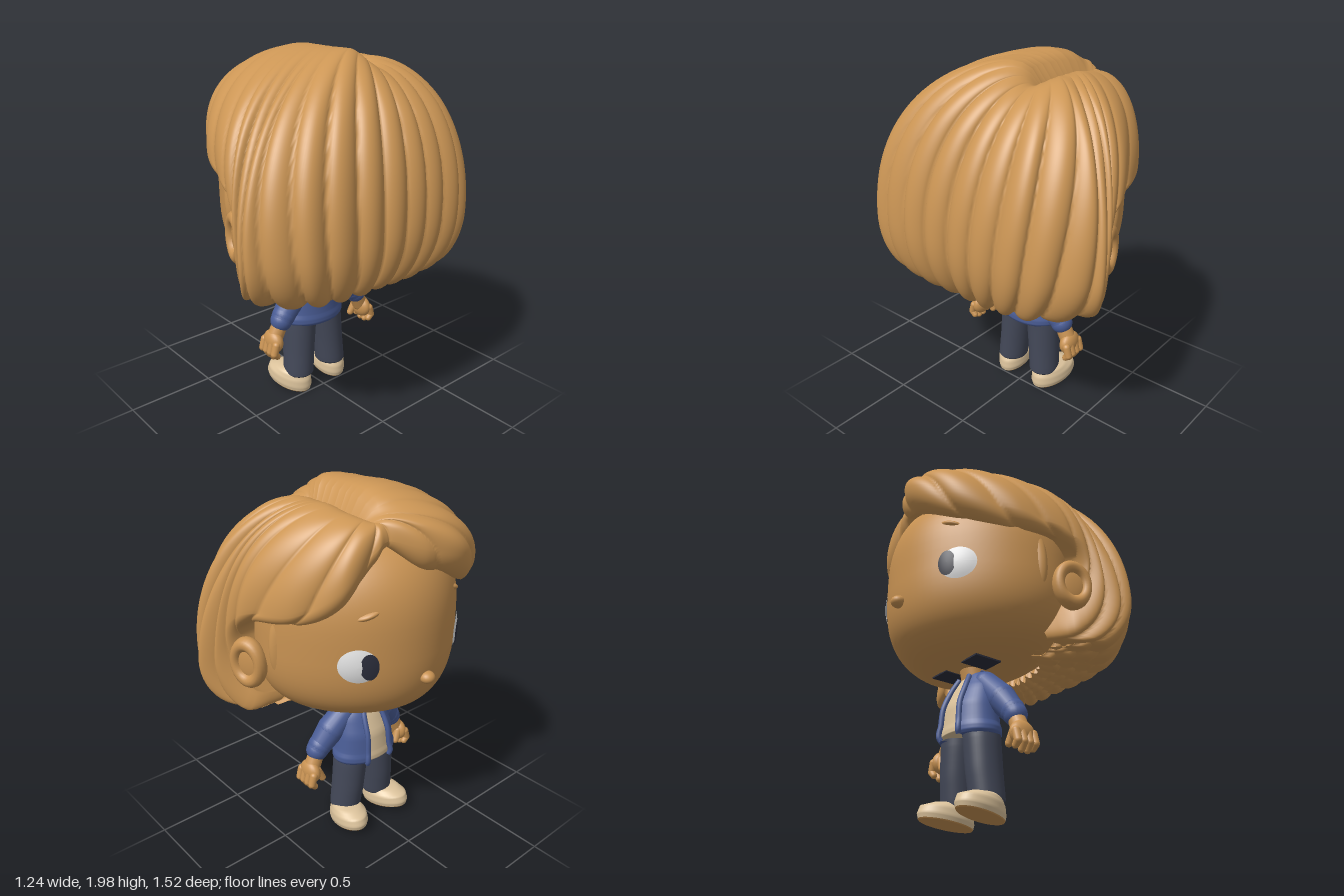
import * as THREE from 'three';

const mat = (name, color, side = THREE.FrontSide) => {
  const m = new THREE.MeshStandardMaterial({ color, side });
  m.name = name;
  return m;
};
const lerp = THREE.MathUtils.lerp;

// Surface from a rule fn(u, v): u runs front -> left -> back -> right, v runs downwards
function grid(nu, nv, fn, closed = true) {
  const pos = [], idx = [], cols = closed ? nu : nu + 1;
  for (let i = 0; i < cols; i++)
    for (let j = 0; j <= nv; j++) pos.push(...fn(i / nu, j / nv));
  for (let i = 0; i < nu; i++)
    for (let j = 0; j < nv; j++) {
      const a = i * (nv + 1) + j, c = ((i + 1) % cols) * (nv + 1) + j;
      idx.push(a, a + 1, c, c, a + 1, c + 1);
    }
  const g = new THREE.BufferGeometry();
  g.setAttribute('position', new THREE.Float32BufferAttribute(pos, 3));
  g.setIndex(idx);
  g.computeVertexNormals();
  return g;
}

// Stack of ellipses [y, centre x, radius x, radius z], with an optional gap at the front
function loft(sections, cz = 0, gap = 0, warp = p => p) {
  const n = sections.length - 1;
  return grid(40, n * 4, (u, v) => {
    const i = Math.min(n - 1, Math.floor(v * n));
    const [y, cx, rx, rz] = sections[i].map((c, k) => lerp(c, sections[i + 1][k], v * n - i));
    const a = gap + u * (Math.PI * 2 - 2 * gap);
    return warp([cx - rx * Math.cos(a), y, cz + rz * Math.sin(a)]);
  }, gap === 0);
}

// Head: a rounded block, fuller at the jaw and narrower towards the face
const HEAD = { x: -0.1, y: 1.31, rx: 0.475, ry: 0.49, rz: 0.565 };
function headPoint(a, y, out = 0) {
  const v = (y - HEAD.y) / HEAD.ry, n = v > 0 ? 2.5 : 3.3, c = Math.cos(a);
  const s = Math.pow(Math.max(0, 1 - Math.pow(Math.abs(v), n)), 1 / n);
  return [HEAD.x - (HEAD.rx * s + out) * c, y, (HEAD.rz * (1 - 0.19 * c) * s + out) * Math.sin(a)];
}
function headGeometry() {
  return grid(64, 40, (u, v) => {
    const c = Math.cos(v * Math.PI), n = c > 0 ? 2.5 : 3.3;
    return headPoint(u * Math.PI * 2, HEAD.y + HEAD.ry * Math.sign(c) * Math.pow(Math.abs(c), 2 / n));
  });
}

// Thin oval that hugs the head surface
function facePatch(a, y, w, h, out, bulge, tilt = 0) {
  const g = new THREE.RingGeometry(0.001, 1, 36, 6), p = g.attributes.position;
  for (let i = 0; i < p.count; i++) {
    const X = p.getX(i), Y = p.getY(i), r2 = X * X + Y * Y;
    p.setXYZ(i, ...headPoint(a + X * w, y + Y * h + X * tilt, out + bulge * (1 - r2)));
  }
  g.computeVertexNormals();
  return g;
}

// Hair guides: widest point x, z and height, tip height, root x, crown height, forward curl of tip
const GUIDES = [
  [-0.46, -0.17, 1.79, 1.74, -0.38, 1.88, 0], [-0.57, -0.02, 1.74, 1.64, -0.36, 1.90, 0],
  [-0.60, 0.16, 1.71, 1.57, -0.33, 1.92, 0], [-0.50, 0.37, 1.60, 1.47, -0.29, 1.97, 0],
  [-0.25, 0.55, 1.50, 1.40, -0.22, 2.0, 0], [0.0, 0.65, 1.43, 1.37, -0.16, 2.0, 0],
  [0.13, 0.68, 1.34, 1.24, -0.12, 2.0, 0], [0.22, 0.71, 1.14, 0.86, -0.06, 2.0, 0.15],
  [0.35, 0.73, 1.10, 0.82, 0, 2.0, 0.08], [0.52, 0.52, 1.12, 0.81, 0.05, 2.0, 0],
  [0.59, 0.25, 1.14, 0.80, 0.07, 1.97, 0], [0.60, 0, 1.15, 0.80, 0.08, 1.93, 0],
  [0.59, -0.25, 1.14, 0.80, 0.08, 1.90, 0], [0.52, -0.52, 1.12, 0.81, 0.05, 1.92, 0],
  [0.35, -0.73, 1.10, 0.82, 0, 1.94, 0.08], [0.22, -0.71, 1.14, 0.86, -0.06, 1.94, 0.15],
  [0.13, -0.68, 1.34, 1.24, -0.12, 1.94, 0], [0.0, -0.65, 1.43, 1.37, -0.16, 1.94, 0],
  [-0.25, -0.56, 1.47, 1.40, -0.22, 1.92, 0], [-0.42, -0.42, 1.60, 1.50, -0.30, 1.90, 0],
  [-0.45, -0.25, 1.75, 1.68, -0.36, 1.88, 0],
];
const COUNT = GUIDES.length, LOCKS = 26, ROOT_Z = -0.19;
function guide(u) {
  const i = Math.floor(u), f = u - i;
  const k = o => GUIDES[(i + o + COUNT) % COUNT];
  return GUIDES[0].map((_, c) => {
    const a = k(-1)[c], b = k(0)[c], d = k(1)[c], e = k(2)[c];
    return b + 0.5 * f * (d - a + f * (2 * a - 5 * b + 4 * d - e + f * (3 * (b - d) + e - a)));
  });
}
function hairPoint(u, t, phase = 0) {
  const [ex, ez, ym, tip, px, top, curl] = guide(u), R = Math.hypot(ex, ez);
  // rounded locks that sweep backwards, with creases between them
  const turn = 2 * Math.PI * u / COUNT;
  const w = LOCKS * u / COUNT + phase + 0.12 * Math.sin(5 * turn) - 2.5 * t * Math.sin(turn);
  const id = (Math.floor(w) + 2 * LOCKS) % LOCKS;
  const rnd = Math.abs(Math.sin(id * 12.99) * 43.7) % 1;
  const lock = Math.pow(Math.abs(Math.sin(Math.PI * w)), 0.6);
  const long = 0.35 + 0.65 * Math.min(1, Math.max(0, (ym - tip) / 0.3));
  const yt = tip + (0.035 * (1 - lock) + 0.02 * rnd * lock) * long;
  const tuck = (0.02 + 0.5 * (ym - tip)) / R;
  let x, y, z, k = 1;
  if (t < 0.7) {
    const a = t / 0.7 * Math.PI / 2;
    k = Math.pow(Math.sin(a), 0.93);
    x = lerp(px, ex, k);
    z = lerp(ROOT_Z, ez, k);
    y = ym + (top - ym) * Math.cos(a);
    y -= (top - 1.86) * Math.exp(-k * Math.hypot(ex - px, ez - ROOT_Z) / 0.06);
  } else {
    const a = Math.min(1, (t - 0.7) / 0.22) * 1.4, f = Math.max(0, (t - 0.92) / 0.08);
    const c = lerp(1 - tuck * (1 - Math.cos(a)), 0.62, f);
    x = ex * c - curl * (1 - Math.cos(a));
    z = ez * c;
    y = ym - (ym - yt) * Math.sin(a) / Math.sin(1.4) + 0.03 * f;
  }
  const b = ((0.035 + 0.02 * rnd) * lock - 0.025) * Math.min(1, k * 1.4) * long;
  return [x + ex / R * b, y, z + ez / R * b];
}

export function createModel() {
  const tan = mat('tan', 0xc99353), hairTan = mat('hair tan', 0xcc9655, THREE.DoubleSide);
  const blue = mat('cardigan blue', 0x4a5d96, THREE.DoubleSide), navy = mat('trouser navy', 0x434858);
  const cream = mat('cream', 0xdcc39c), white = mat('eye white', 0xe6e6e6), dark = mat('pupil dark', 0x2c2e3c);

  const model = new THREE.Group();
  model.name = 'figure';
  const add = (name, geo, m, parent = model) => {
    const mesh = new THREE.Mesh(geo, m);
    mesh.name = name;
    parent.add(mesh);
    return mesh;
  };
  const ball = (name, m, p, r, sx = 1, sy = 1, sz = 1) => {
    const mesh = add(name, new THREE.SphereGeometry(r, 24, 16), m);
    mesh.position.set(...p);
    mesh.scale.set(sx, sy, sz);
  };
  // Tapered limb with round ends
  const limb = (name, m, a, b, ra, rb) => {
    const A = new THREE.Vector3(...a), B = new THREE.Vector3(...b), d = B.clone().sub(A);
    const mesh = add(name, new THREE.CylinderGeometry(rb, ra, d.length(), 20, 1, true), m);
    mesh.position.copy(A).addScaledVector(d, 0.5);
    mesh.quaternion.setFromUnitVectors(new THREE.Vector3(0, 1, 0), d.normalize());
    ball(name + 'Start', m, a, ra);
    ball(name + 'End', m, b, rb);
  };

  // Head, nose, neck
  add('head', headGeometry(), tan);
  ball('nose', tan, [-0.572, 1.09, 0], 0.04, 1, 0.8, 1);
  add('neck', loft([[0.86, -0.1, 0.07, 0.07], [0.76, -0.09, 0.06, 0.07]]), tan);

  // Hair: outer locks, then rows of shorter ends stepping in towards the nape
  add('hair', grid(COUNT * 24, 44, (u, t) => hairPoint(u * COUNT, t)), hairTan);
  [0.88, 0.74, 0.6].forEach((r, i) => {
    add('hairUnderLayer', grid(160, 16, (u, t) => {
      const [x, y, z] = hairPoint(7.4 + u * 7.2, 0.68 + t * 0.32, 0.5 * (i + 1));
      return [x * r, y - 0.008, z * r];
    }, false), hairTan);
  });

  // Torso: cream shirt under an open cardigan
  const torso = [[0.81, -0.075, 0.055, 0.06], [0.77, -0.075, 0.075, 0.105], [0.7, -0.09, 0.1, 0.15],
    [0.6, -0.108, 0.126, 0.175], [0.5, -0.11, 0.135, 0.188], [0.47, -0.11, 0.141, 0.2],
    [0.445, -0.11, 0.141, 0.2], [0.43, -0.11, 0.132, 0.19], [0.435, -0.11, 0.07, 0.1]];
  const shirt = torso.slice(0, 7).map(([y, cx, rx, rz]) => [y, cx, rx * 0.95, rz * 0.95]);
  add('shirt', loft([...shirt, [0.445, -0.11, 0, 0]]), cream);
  add('cardigan', loft(torso, 0, 0.44), blue);
  add('collar', new THREE.TorusGeometry(0.06, 0.014, 10, 32).rotateX(Math.PI / 2), blue).position.set(-0.075, 0.8, 0);

  for (const s of [1, -1]) {
    const side = s > 0 ? 'left' : 'right';

    // Eye, brow, sideburn, ear
    add(side + 'Eye', facePatch(s * 0.77, 1.21, 0.19, 0.089, 0.003, 0.012), white);
    add(side + 'Pupil', facePatch(s * 0.665, 1.21, 0.088, 0.07, 0.013, 0.004), dark);
    add(side + 'Brow', facePatch(s * 0.68, 1.46, 0.1, 0.016, 0, 0.014, -0.015 * s), tan);
    add(side + 'Sideburn', facePatch(s * 1.62, 1.25, 0.06, 0.12, 0, 0.012, -0.03 * s), hairTan);
    const ear = new THREE.Group();
    ear.name = side + 'Ear';
    ear.position.set(0.075, 1.13, s * 0.615);
    ear.rotation.y = s * -0.3;
    add('earRim', new THREE.TorusGeometry(0.077, 0.03, 14, 36), tan, ear).scale.set(1, 1.3, 1.4);
    add('earBowl', new THREE.SphereGeometry(0.08, 24, 16), tan, ear).scale.set(1, 1.3, 0.3);
    model.add(ear);

    // Dark plate under the head beside the neck
    add(side + 'NeckPlate', new THREE.BoxGeometry(0.16, 0.009, 0.13), dark).position.set(-0.14, 0.821, s * 0.135);

    // Cardigan edge
    const edge = torso.slice(1, 8).map(([y, cx, rx, rz]) =>
      new THREE.Vector3(cx - rx * Math.cos(0.44) - 0.006, y, s * rz * Math.sin(0.44)));
    add(side + 'CardiganEdge', new THREE.TubeGeometry(new THREE.CatmullRomCurve3(edge), 30, 0.015, 8), blue);

    // Sleeve, cuff, hand
    limb(side + 'UpperSleeve', blue, [-0.07, 0.725, s * 0.085], [-0.05, 0.62, s * 0.19], 0.07, 0.078);
    limb(side + 'LowerSleeve', blue, [-0.05, 0.62, s * 0.19], [-0.038, 0.535, s * 0.262], 0.078, 0.064);
    limb(side + 'Cuff', blue, [-0.038, 0.537, s * 0.262], [-0.036, 0.513, s * 0.28], 0.066, 0.062);
    limb(side + 'Wrist', tan, [-0.038, 0.49, s * 0.29], [-0.042, 0.42, s * 0.325], 0.045, 0.046);
    ball(side + 'Palm', tan, [-0.042, 0.4, s * 0.335], 0.066, 1.1, 1, 0.65);
    for (let f = 0; f < 4; f++) {
      const x = -0.096 + f * 0.036, low = 0.315 + (f === 0 || f === 3 ? 0.014 : 0);
      limb(side + 'Finger', tan, [x, 0.4, s * 0.355], [x, 0.35, s * 0.37], 0.022, 0.021);
      limb(side + 'Fingertip', tan, [x, 0.35, s * 0.37], [x, low, s * 0.35], 0.021, 0.018);
    }
    limb(side + 'Thumb', tan, [-0.075, 0.41, s * 0.315], [-0.085, 0.355, s * 0.287], 0.025, 0.02);

    // Trouser leg, splayed a little
    add(side + 'TrouserLeg', loft([[0.455, -0.105, 0.1, 0.093], [0.4, -0.105, 0.1, 0.094], [0.25, -0.1, 0.098, 0.089],
      [0.11, -0.09, 0.093, 0.086], [0.1, -0.09, 0.086, 0.08], [0.1, -0.09, 0, 0]], s * 0.094, 0,
      ([x, y, z]) => [x, y, z + s * (0.45 - y) * 0.08]), navy);

    // Shoe with raised toe and thin sole
    const tilt = ([x, y, z]) => [x, y - 0.15 * Math.min(0, x), z - s * 0.12 * (x + 0.1)];
    add(side + 'Shoe', loft([[0.115, -0.1, 0, 0], [0.115, -0.1, 0.06, 0.06], [0.1, -0.12, 0.1, 0.08],
      [0.07, -0.143, 0.14, 0.094], [0.03, -0.148, 0.15, 0.097], [0.006, -0.148, 0.145, 0.09]], s * 0.14, 0, tilt), cream);
    add(side + 'Sole', loft([[0.006, -0.148, 0.145, 0.09], [0, -0.148, 0.14, 0.086],
      [0, -0.148, 0, 0]], s * 0.14, 0, tilt), tan);
  }
  return model;
}
